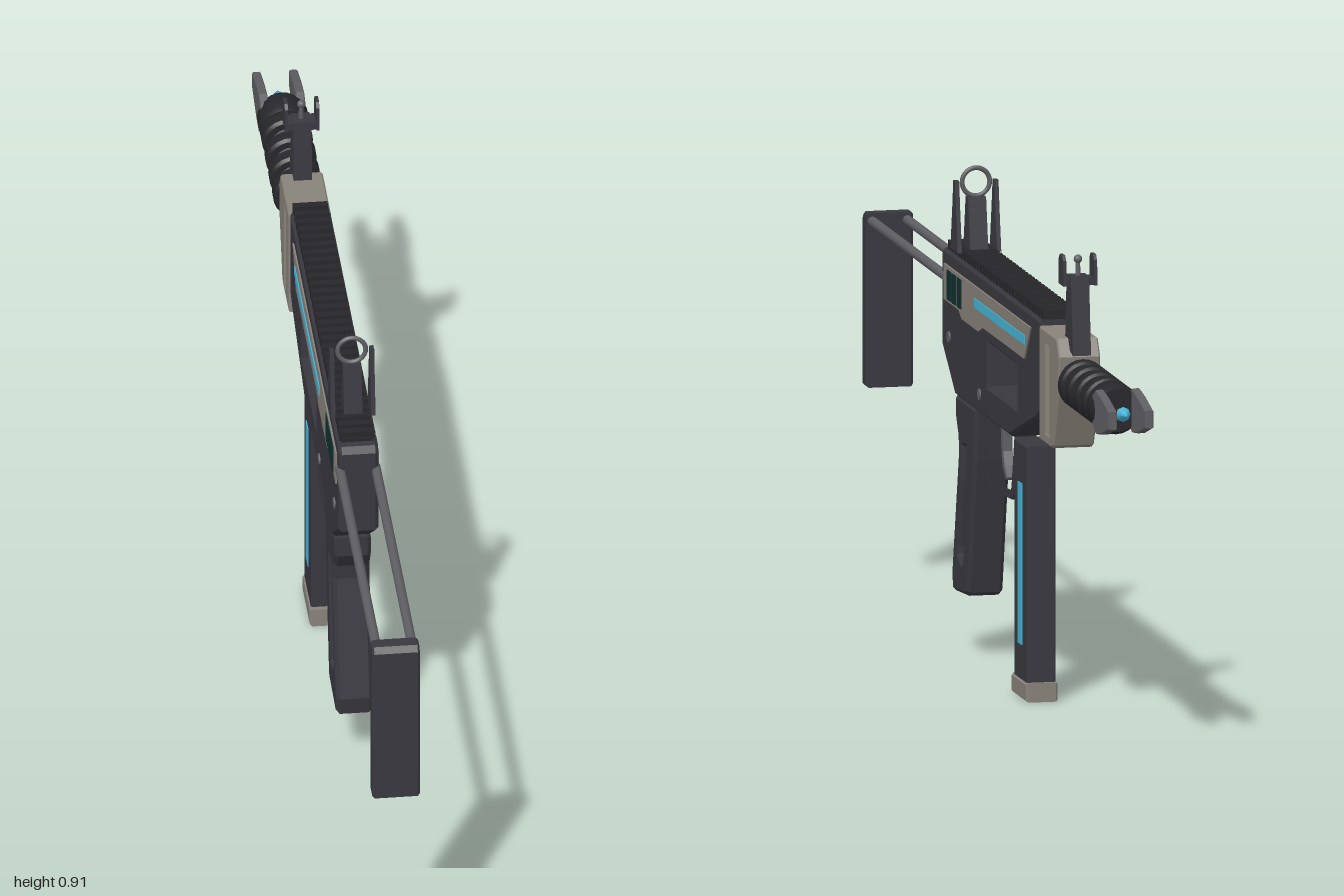
import * as THREE from 'three';
import { toCreasedNormals } from 'three/addons/utils/BufferGeometryUtils.js';

const paint = (name, color) => {
  const m = new THREE.MeshStandardMaterial({ color });
  m.name = name;
  return m;
};

export function createModel() {
  const dark = paint('charcoal', 0x39383f);
  const black = paint('black', 0x27272b);
  const beige = paint('beige', 0x88837a);
  const steel = paint('steel', 0x5f5e63);
  const blue = paint('blue', 0x45b4d8);
  const green = paint('deepGreen', 0x10302f);

  const model = new THREE.Group();
  model.name = 'carbine';
  const add = (name, geo, mat, x = 0, y = 0, z = 0) => {
    const m = new THREE.Mesh(geo, mat);
    m.name = name;
    m.position.set(x, y, z);
    model.add(m);
    return m;
  };
  // Box given by its ranges in y and z, centred on x
  const box = (name, mat, x, w, y0, y1, z0, z1) =>
    add(name, new THREE.BoxGeometry(w, y1 - y0, Math.abs(z1 - z0)), mat, x, (y0 + y1) / 2, (z0 + z1) / 2);
  // Side profile in [z, y], extruded across x
  const plate = (name, mat, pts, half, { x = 0, holes = [], bevel = 0 } = {}) => {
    const vec = (list) => list.map(([a, b]) => new THREE.Vector2(a, b));
    const shape = new THREE.Shape(vec(pts));
    holes.forEach((h) => shape.holes.push(new THREE.Path(vec(h))));
    const depth = 2 * (half - bevel);
    const geo = new THREE.ExtrudeGeometry(shape, {
      depth, bevelEnabled: bevel > 0, bevelSize: bevel, bevelThickness: bevel,
      bevelOffset: -bevel, bevelSegments: 1,
    });
    geo.translate(0, 0, -depth / 2).rotateY(-Math.PI / 2);
    return add(name, geo, mat, x);
  };
  const rect = (z0, z1, y0, y1) => [[z0, y0], [z1, y0], [z1, y1], [z0, y1]];
  // Turned part along the bore; points are [radius, distance forward]
  const turned = (name, mat, pts) => {
    const geo = new THREE.LatheGeometry(pts.map(([r, d]) => new THREE.Vector2(r, d)), 24);
    geo.rotateX(-Math.PI / 2);
    return add(name, toCreasedNormals(geo, 0.6), mat, 0, 0.648, 0);
  };

  // Receiver with a window through it
  plate('receiver', dark, [[0.383, 0.725], [0.375, 0.738], [-0.42, 0.738], [-0.42, 0.565],
    [-0.385, 0.548], [-0.165, 0.478], [0.275, 0.478], [0.383, 0.557]], 0.037,
  { holes: [rect(0.013, -0.23, 0.54, 0.62)], bevel: 0.006 });

  // Top rail and its teeth
  box('railBase', black, 0, 0.058, 0.73, 0.744, 0.36, -0.42);
  for (let i = 0; i < 30; i++) {
    const z = 0.355 - i * 0.0262;
    box('railTooth', black, 0, 0.064, 0.738, 0.755, z, z - 0.015);
  }

  // Side panels, vents, light strips and pins
  for (const s of [-1, 1]) {
    plate('sidePanel', beige, [[0.355, 0.712], [-0.352, 0.712], [-0.3, 0.645], [0.04, 0.645],
      [0.075, 0.632], [0.21, 0.632], [0.235, 0.645], [0.355, 0.645]], 0.002, { x: s * 0.038 });
    box('sideLight', blue, s * 0.0405, 0.003, 0.673, 0.69, 0.10, -0.31);
    for (const z of [0.308, 0.265, 0.223]) box('vent', green, s * 0.0405, 0.003, 0.65, 0.705, z + 0.016, z - 0.016);
    for (const [z, y] of [[0.32, 0.58], [0.072, 0.515]]) {
      add('pin', new THREE.CylinderGeometry(0.011, 0.011, 0.004, 12), steel, s * 0.038, y, z).rotation.z = Math.PI / 2;
    }
  }

  // Rear stock
  plate('buttPlate', dark, [[1, 0.375], [1, 0.69], [0.99, 0.7], [0.965, 0.7], [0.965, 0.375]], 0.044, { bevel: 0.004 });
  for (const s of [-1, 1]) {
    add('stockRod', new THREE.CylinderGeometry(0.009, 0.009, 0.61, 12), steel, s * 0.033, 0.685, 0.67).rotation.x = Math.PI / 2;
  }

  // Pistol grip with an open slot
  plate('grip', dark, [[0.287, 0.48], [0.122, 0.48], [0.135, 0.38], [0.19, 0.125], [0.2, 0.118],
    [0.31, 0.11], [0.316, 0.145], [0.262, 0.375], [0.265, 0.405], [0.287, 0.44]], 0.034,
  { holes: [[[0.236, 0.39], [0.2, 0.395], [0.192, 0.385], [0.196, 0.335], [0.228, 0.178], [0.238, 0.172],
    [0.268, 0.186], [0.268, 0.2], [0.24, 0.325]]], bevel: 0.007 });

  // Trigger guard and trigger
  plate('triggerGuard', dark, [[0.12, 0.48], [0.1, 0.352], [0.09, 0.34], [-0.112, 0.35], [-0.122, 0.36], [-0.15, 0.48]], 0.019,
    { holes: [[[0.103, 0.47], [0.086, 0.366], [0.08, 0.358], [-0.1, 0.366], [-0.107, 0.372], [-0.131, 0.47]]] });
  plate('trigger', steel, [[0.026, 0.48], [0.006, 0.48], [0.004, 0.42], [-0.008, 0.395], [-0.028, 0.376],
    [-0.018, 0.37], [0.008, 0.39], [0.018, 0.415]], 0.009);

  // Magazine with base and light strips
  plate('magazine', dark, rect(-0.163, -0.27, 0.03, 0.475), 0.027, { bevel: 0.003 });
  plate('magazineBase', beige, rect(-0.153, -0.276, 0, 0.036), 0.03, { bevel: 0.004 });
  for (const s of [-1, 1]) box('magazineLight', blue, s * 0.0275, 0.003, 0.1, 0.4, -0.2, -0.233);

  // Slotted front block
  plate('frontBlock', beige, [[-0.42, 0.727], [-0.56, 0.727], [-0.582, 0.695], [-0.575, 0.63],
    [-0.53, 0.522], [-0.52, 0.516], [-0.42, 0.516]], 0.039,
  { holes: [rect(-0.468, -0.48, 0.535, 0.7), rect(-0.488, -0.5, 0.535, 0.7)], bevel: 0.003 });

  // Barrel, rings and muzzle
  turned('barrel', steel, [[0, 0.43], [0.03, 0.43], [0.03, 0.85], [0, 0.85]]);
  for (const d of [0.617, 0.678, 0.74, 0.802]) {
    turned('barrelRing', black, [[0.028, d - 0.018], [0.042, d - 0.018], [0.047, d - 0.012],
      [0.047, d + 0.012], [0.042, d + 0.018], [0.028, d + 0.018]]);
  }
  turned('muzzle', black, [[0.028, 0.826], [0.043, 0.826], [0.047, 0.835], [0.047, 0.875], [0.04, 0.892], [0, 0.892]]);
  for (const s of [-1, 1]) {
    plate('muzzleProng', steel, [[-0.865, 0.676], [-0.89, 0.688], [-0.935, 0.681], [-1, 0.665],
      [-1, 0.632], [-0.935, 0.612], [-0.89, 0.606], [-0.865, 0.62]], 0.008, { x: s * 0.034, bevel: 0.002 });
  }
  add('muzzleTip', new THREE.ConeGeometry(0.014, 0.026, 8), blue, 0, 0.648, -0.947).rotation.x = -Math.PI / 2;

  // Front sight: post, column and ears
  plate('frontSightColumn', dark, [[-0.535, 0.715], [-0.6, 0.7], [-0.592, 0.77], [-0.583, 0.845], [-0.548, 0.845]], 0.017);
  box('frontSightBridge', dark, 0, 0.058, 0.828, 0.842, -0.549, -0.583);
  add('frontSightPost', new THREE.CylinderGeometry(0.004, 0.005, 0.035, 8), steel, 0, 0.858, -0.566);
  add('frontSightBead', new THREE.SphereGeometry(0.008, 12, 8), steel, 0, 0.875, -0.566);
  for (const s of [-1, 1]) {
    plate('frontSightEar', dark, [[-0.546, 0.828], [-0.548, 0.875], [-0.556, 0.884], [-0.576, 0.884],
      [-0.584, 0.875], [-0.588, 0.828]], 0.003, { x: s * 0.029 });
  }

  // Rear sight: column, aperture ring and side guards
  plate('rearSightColumn', dark, [[0.295, 0.745], [0.235, 0.745], [0.255, 0.85], [0.275, 0.85]], 0.017);
  add('rearSightRing', new THREE.TorusGeometry(0.026, 0.0045, 8, 28), steel, 0, 0.877, 0.265);
  for (const s of [-1, 1]) {
    plate('rearSightGuard', dark, [[0.295, 0.75], [0.235, 0.75], [0.25, 0.83], [0.258, 0.88],
      [0.272, 0.88], [0.28, 0.83]], 0.004, { x: s * 0.037 });
  }
  return model;
}
